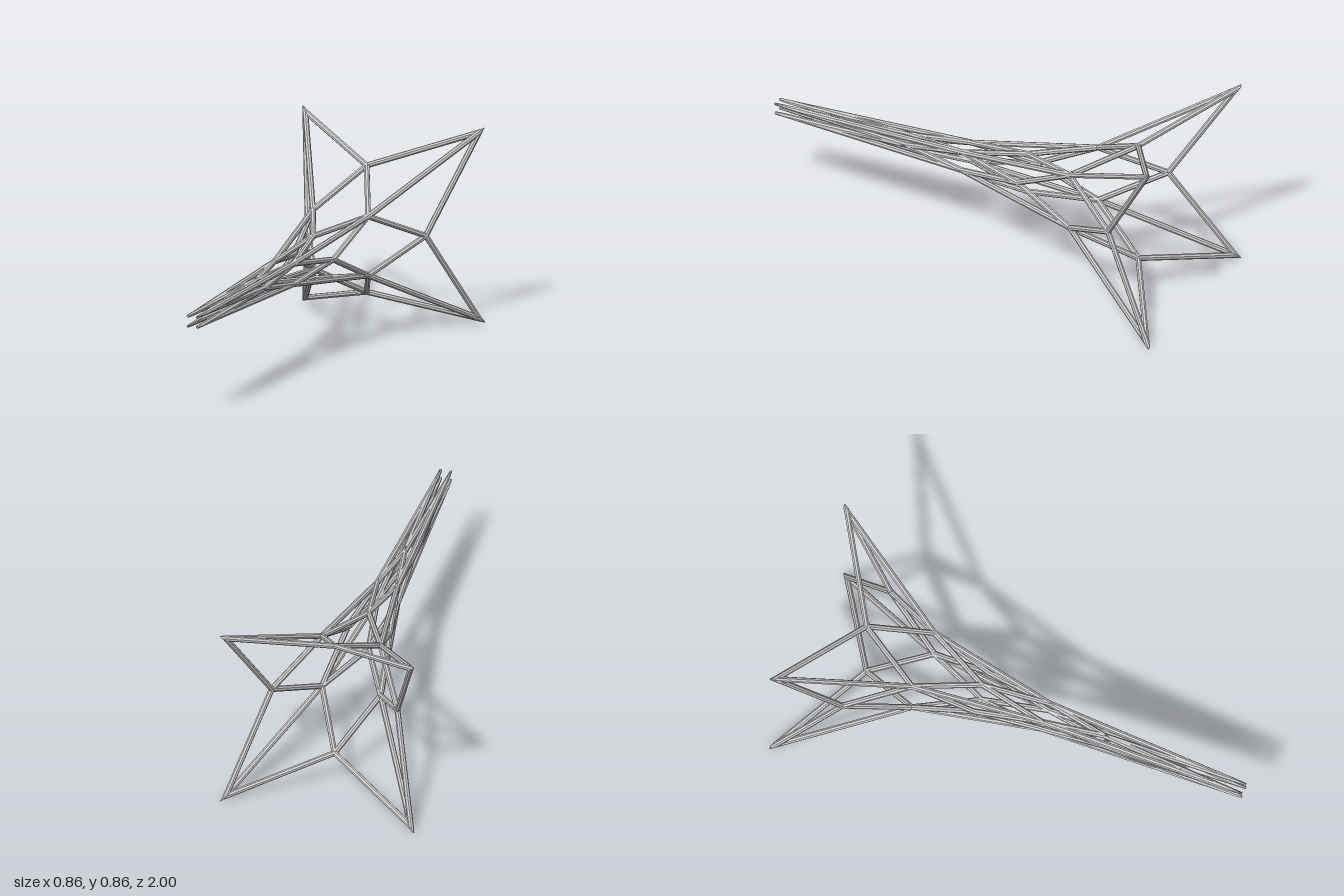
import * as THREE from 'three';

const RADIUS = 0.0125, FACETS = 8, STEPS = 3, CENTRE_Y = 0.427;

// Alternating rings of four nodes: [radius or half width, z, diagonal?]
const levels = [
  [0.409, -0.983, true],
  [0.278, -0.73, false],
  [0.13, -0.47, true],
  [0.093, -0.2, false],
  [0.045, 0.09, true],
  [0.033, 0.36, false],
  [0.022, 0.85, true],
];

// Four nodes per ring, a quarter turn apart
function ringNodes([r, z, diagonal]) {
  return [0, 1, 2, 3].map((k) => {
    const a = (k + (diagonal ? 0.5 : 0)) * Math.PI / 2;
    const d = diagonal ? r * Math.SQRT2 : r;
    return { p: new THREE.Vector3(Math.cos(a) * d, Math.sin(a) * d, z), dirs: [] };
  });
}

// Struts as node pairs: zigzags between rings, and rails along the diagonals
function buildStruts() {
  const rings = levels.map(ringNodes);
  const struts = [];
  const join = (name, a, b) => {
    const dir = b.p.clone().sub(a.p).normalize();
    a.dirs.push(dir);
    b.dirs.push(dir.clone().negate());
    struts.push({ name, a, b, dir });
  };
  for (let i = 0; i + 1 < rings.length; i++) {
    for (let k = 0; k < 4; k++) {
      const other = levels[i][2] ? (k + 1) % 4 : (k + 3) % 4;
      join('latticeStrut', rings[i][k], rings[i + 1][k]);
      join('latticeStrut', rings[i][k], rings[i + 1][other]);
      if (levels[i][2] && i + 2 < rings.length) join('diagonalRail', rings[i][k], rings[i + 2][k]);
    }
  }
  return struts;
}

// How far a strut edge at offset o slides along d to meet its neighbours' mitre planes,
// with a slight overlap and a limit on the length of pointed tips
function mitre(o, d, dirs, limit) {
  let t = -Infinity;
  for (const e of dirs) {
    const c = 1 - d.dot(e);
    if (c > 1e-6) t = Math.max(t, o.dot(e) / c);
  }
  return THREE.MathUtils.clamp(t - 0.003, -0.15, limit);
}

// Eight-sided tube with mitred ends; each facet is cut into strips to follow the mitre
function strutGeometry({ a, b, dir }) {
  const back = dir.clone().negate();
  const limit = a.p.distanceTo(b.p) * 0.6;
  const out = a.p.clone().add(b.p).setZ(0);
  out.addScaledVector(dir, -out.dot(dir)).normalize();
  const side = dir.clone().cross(out);
  const corner = (i) => {
    const t = i / FACETS * Math.PI * 2;
    return out.clone().multiplyScalar(Math.cos(t) * RADIUS).addScaledVector(side, Math.sin(t) * RADIUS);
  };
  const start = [], end = [];
  const count = FACETS * STEPS;
  for (let i = 0; i < count; i++) {
    const facet = Math.floor(i / STEPS);
    const o = corner(facet).lerp(corner(facet + 1), (i % STEPS) / STEPS);
    start.push(a.p.clone().add(o).addScaledVector(dir, mitre(o, dir, a.dirs, limit)));
    end.push(b.p.clone().add(o).addScaledVector(back, mitre(o, back, b.dirs, limit)));
  }
  const points = [];
  for (let i = 0; i < count; i++) {
    const j = (i + 1) % count;
    points.push(start[i], start[j], end[j], start[i], end[j], end[i]);
  }
  const geometry = new THREE.BufferGeometry().setFromPoints(points);
  geometry.computeVertexNormals();
  return geometry;
}

export function createModel() {
  const group = new THREE.Group();
  group.name = 'latticeSpire';
  const metal = new THREE.MeshStandardMaterial({ color: 0xcccccc, side: THREE.DoubleSide });
  metal.name = 'light grey metal';
  for (const s of buildStruts()) {
    const mesh = new THREE.Mesh(strutGeometry(s), metal);
    mesh.name = s.name;
    mesh.position.y = CENTRE_Y;
    group.add(mesh);
  }
  return group;
}
